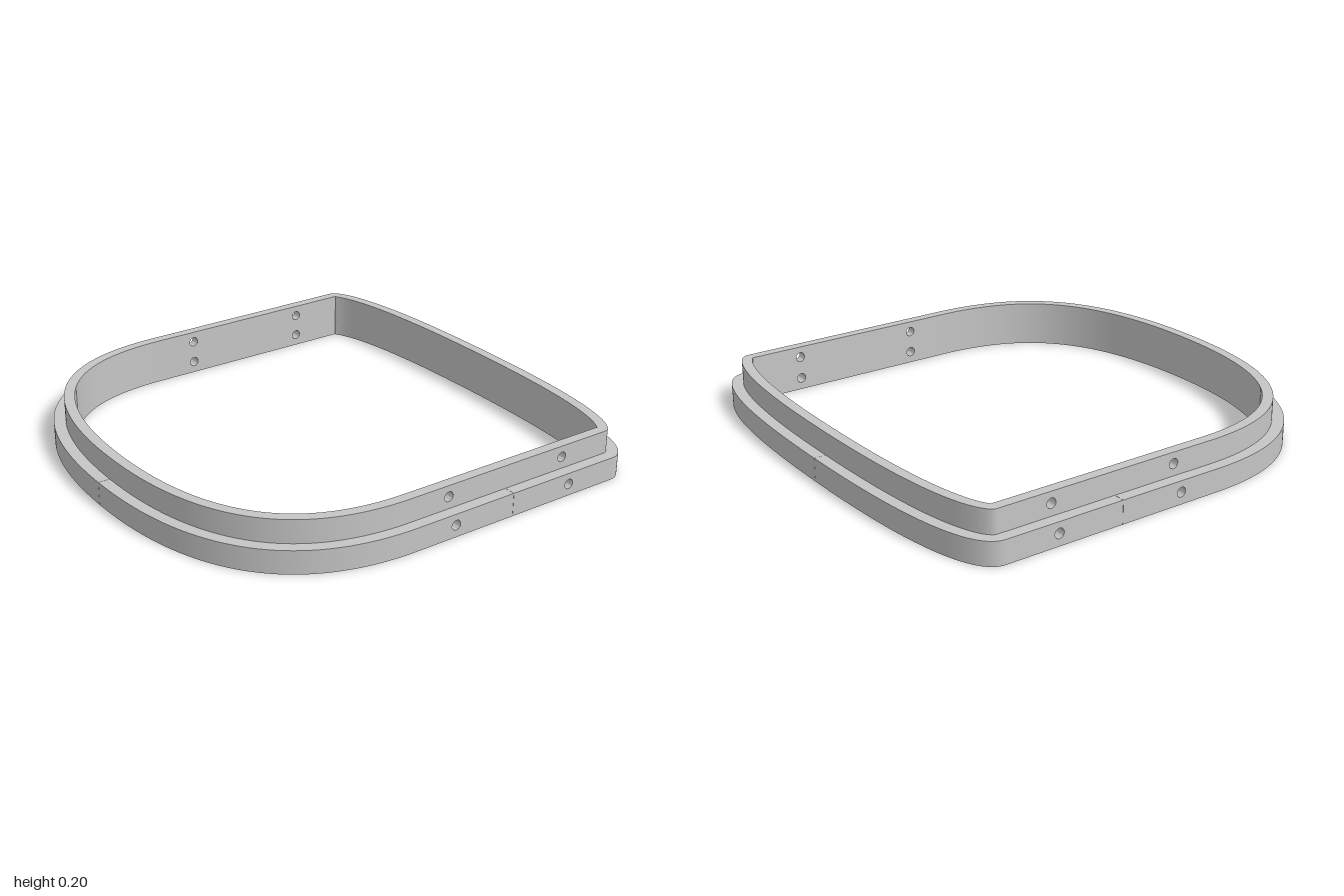
import * as THREE from 'three';
import { toCreasedNormals } from 'three/addons/utils/BufferGeometryUtils.js';

const FRONT_Z = 0.2, BACK_Z = -0.8;      // ends of the straight sides
const WALL = 0.05, INNER = 0.095;        // inset of the step and of the inside face
const FULLNESS = 0.67;                   // handle length of the curved ends
const SPLIT_Z = -0.27, GAP = 0.0005;     // hairline joints in the rim
const HOLES = [0.016, -0.564], HOLE_R = 0.021, LOW_Y = 0.052, HIGH_Y = 0.152;

export function createModel() {
  const group = new THREE.Group();
  const grey = new THREE.MeshStandardMaterial({ color: 0xc5c5c5 });
  grey.name = 'light grey';

  const add = (name, geometry) => {
    const mesh = new THREE.Mesh(toCreasedNormals(geometry, 0.45), grey);
    mesh.name = name;
    group.add(mesh);
  };

  // Curve from the side (+x) to the middle, inset by d along its normal
  function arc(dir, d) {
    const z0 = dir > 0 ? FRONT_Z : BACK_Z, b = dir > 0 ? 0.8 : 0.2, n = 64;
    const curve = new THREE.CubicBezierCurve(
      new THREE.Vector2(1, z0), new THREE.Vector2(1, z0 + dir * b * FULLNESS),
      new THREE.Vector2(FULLNESS, dir), new THREE.Vector2(0, dir));
    const points = [new THREE.Vector2(1 - d, z0)];
    for (let i = 1; i <= n; i++) {
      const p = curve.getPoint(i / n), t = curve.getTangent(i / n);
      const q = new THREE.Vector2(p.x - d * dir * t.y, p.y + d * dir * t.x);
      const last = points[points.length - 1];
      // Leave out points where a tight inset folds back on itself
      if (q.x < last.x && dir * q.y >= dir * last.y) points.push(q);
    }
    points[points.length - 1].set(0, dir * (1 - d));
    return points;
  }

  const mirror = (points) => points.map((p) => new THREE.Vector2(-p.x, p.y));

  // Upright band between two plan curves
  function band(outer, inner, height) {
    const loop = [...outer, ...inner.slice().reverse()].map((p) => new THREE.Vector2(p.x, -p.y));
    return new THREE.ExtrudeGeometry(new THREE.Shape(loop), { depth: height, bevelEnabled: false })
      .rotateX(-Math.PI / 2);
  }

  // Straight side plate with drilled holes
  function plate(z0, z1, height, x0, x1, holes) {
    const shape = new THREE.Shape([[-z1, 0], [-z0, 0], [-z0, height], [-z1, height]]
      .map(([x, y]) => new THREE.Vector2(x, y)));
    for (const [z, y] of holes) {
      shape.holes.push(new THREE.Path().absarc(-z, y, HOLE_R, 0, Math.PI * 2, true));
    }
    return new THREE.ExtrudeGeometry(shape, { depth: x1 - x0, bevelEnabled: false, curveSegments: 24 })
      .rotateY(Math.PI / 2).translate(x0, 0, 0);
  }

  // Tall inner frame and low outer rim, front and back curves
  for (const [dir, label] of [[1, 'front'], [-1, 'back']]) {
    const full = (d) => {
      const half = arc(dir, d);
      return [...half, ...mirror(half).reverse().slice(1)];
    };
    add(label + 'FrameCurve', band(full(WALL), full(INNER), 0.2));

    for (const side of [1, -1]) {
      const edge = (d) => {
        const half = arc(dir, d);
        half[half.length - 1].x = GAP;
        return side > 0 ? half : mirror(half);
      };
      add(label + (side > 0 ? 'Left' : 'Right') + 'RimCurve', band(edge(0), edge(WALL), 0.1));
    }
  }

  // Straight sides, with two pairs of holes each
  for (const side of [1, -1]) {
    const label = side > 0 ? 'left' : 'right';
    const span = (a, b) => (side > 0 ? [a, b] : [-b, -a]);
    const frameHoles = HOLES.flatMap((z) => [[z, LOW_Y], [z, HIGH_Y]]);
    add(label + 'FrameSide', plate(BACK_Z, FRONT_Z, 0.2, ...span(1 - INNER, 1 - WALL), frameHoles));
    add(label + 'FrontRimSide',
      plate(SPLIT_Z + GAP, FRONT_Z, 0.1, ...span(1 - WALL, 1), [[HOLES[0], LOW_Y]]));
    add(label + 'BackRimSide',
      plate(BACK_Z, SPLIT_Z - GAP, 0.1, ...span(1 - WALL, 1), [[HOLES[1], LOW_Y]]));
  }
  return group;
}
